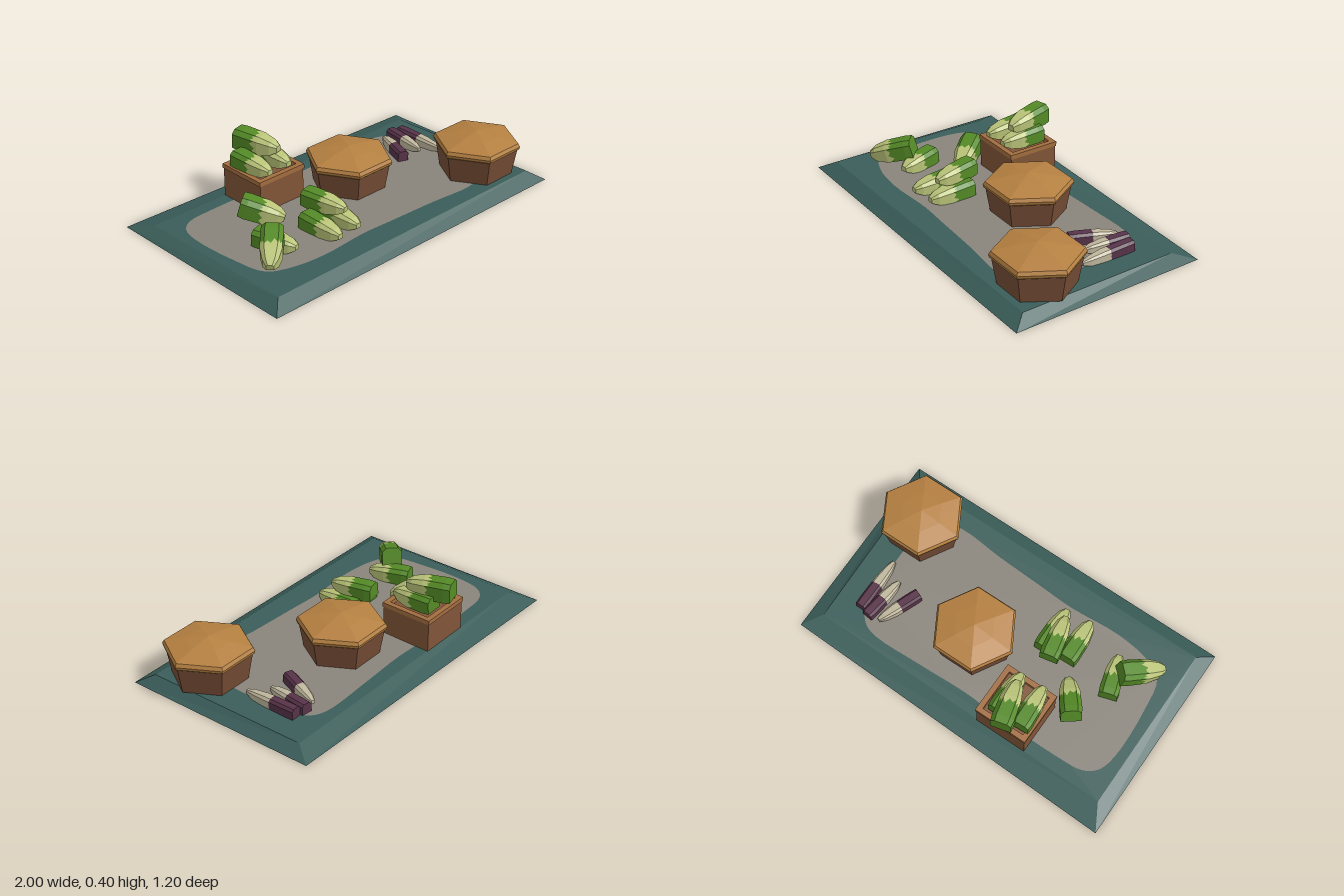
import * as THREE from 'three';

const mat = (name, color, extra = {}) => {
  const m = new THREE.MeshStandardMaterial({ color, ...extra });
  m.name = name;
  return m;
};

// Turns a geometry into hard-edged facets
function facet(geo) {
  const g = geo.index ? geo.toNonIndexed() : geo;
  g.computeVertexNormals();
  return g;
}

// Skins a list of equal-length closed loops, with optional flat caps
function loft(loops, capStart, capEnd) {
  const pos = [];
  const tri = (...pts) => pts.forEach((p) => pos.push(p.x, p.y, p.z));
  const n = loops[0].length;
  for (let i = 0; i < loops.length - 1; i++) {
    for (let j = 0; j < n; j++) {
      const k = (j + 1) % n;
      const a = loops[i][j], b = loops[i][k], c = loops[i + 1][k], d = loops[i + 1][j];
      tri(a, b, c);
      tri(a, c, d);
    }
  }
  const cap = (loop, flip) => {
    const mid = loop.reduce((s, p) => s.add(p), new THREE.Vector3()).divideScalar(n);
    loop.forEach((p, j) => {
      const q = loop[(j + 1) % n];
      if (flip) tri(mid, q, p); else tri(mid, p, q);
    });
  };
  if (capStart) cap(loops[0], true);
  if (capEnd) cap(loops[loops.length - 1], false);
  const g = new THREE.BufferGeometry();
  g.setAttribute('position', new THREE.Float32BufferAttribute(pos, 3));
  g.computeVertexNormals();
  return g;
}

export function createModel() {
  const root = new THREE.Group();
  const M = {
    border: mat('teal cloth', 0x3a5d59, { side: THREE.DoubleSide }),
    field: mat('grey cloth', 0x89847b, { side: THREE.DoubleSide }),
    lid: mat('golden lid', 0xb58041),
    pot: mat('brown pot', 0x764d36),
    crate: mat('crate wood', 0x815538),
    rim: mat('crate rim wood', 0xa26d3f),
    green: mat('leaf green', 0x548a26),
    pale: mat('pale green', 0xbac478),
    purple: mat('dark purple', 0x573349),
    cream: mat('cream', 0xc0b79d),
  };
  const add = (parent, name, geo, material, x = 0, y = 0, z = 0) => {
    const m = new THREE.Mesh(geo, material);
    m.name = name;
    m.position.set(x, y, z);
    parent.add(m);
    return m;
  };
  const group = (name) => {
    const g = new THREE.Group();
    g.name = name;
    root.add(g);
    return g;
  };

  // Cloth: sloped edge, teal border and grey field on a gently tilted top
  const cloth = group('cloth');
  const topY = (z) => 0.042 + 0.012 * z;
  const outer = [[-1, 0.59], [1, 0.595], [0.98, -0.55], [-1, -0.6]];
  const inner = [[-0.92, 0.51], [0.93, 0.51], [0.9, -0.44], [-0.92, -0.46]];
  add(cloth, 'clothEdge', loft([
    outer.map(([x, z]) => new THREE.Vector3(x, 0, z)),
    inner.map(([x, z]) => new THREE.Vector3(x, topY(z), z)),
  ]), M.border);
  const fieldCurve = new THREE.CatmullRomCurve3([
    [-0.86, -0.2], [-0.83, -0.31], [-0.76, -0.365], [-0.6, -0.38], [-0.2, -0.375], [0, -0.365],
    [0.3, -0.375], [0.59, -0.38], [0.67, -0.355], [0.72, -0.3], [0.745, -0.15], [0.76, 0.08],
    [0.74, 0.28], [0.68, 0.38], [0.56, 0.41], [0.3, 0.39], [0, 0.375], [-0.2, 0.365],
    [-0.5, 0.38], [-0.7, 0.35], [-0.81, 0.29], [-0.85, 0.1],
  ].map(([x, z]) => new THREE.Vector3(x, -z, 0)), true);
  const fieldPts = fieldCurve.getPoints(88).slice(0, -1).map((p) => new THREE.Vector2(p.x, p.y));
  const lay = (shape) => {
    const g = new THREE.ShapeGeometry(shape).rotateX(-Math.PI / 2);
    const p = g.attributes.position;
    for (let i = 0; i < p.count; i++) p.setY(i, topY(p.getZ(i)));
    return facet(g);
  };
  const borderShape = new THREE.Shape(inner.map(([x, z]) => new THREE.Vector2(x, -z)));
  borderShape.holes.push(new THREE.Path(fieldPts));
  add(cloth, 'clothBorder', lay(borderShape), M.border);
  add(cloth, 'clothField', lay(new THREE.Shape(fieldPts)), M.field);

  // Six-sided pots with low pointed lids
  const lidProfile = [[0.226, 0.19], [0.24, 0.2], [0.245, 0.217], [0.234, 0.236], [0.12, 0.262], [0, 0.283]]
    .map(([r, y]) => new THREE.Vector2(r, y));
  [[0.13, -0.012, -0.085], [0.748, 0, 0.293]].forEach(([x, y, z]) => {
    const pot = group('pot');
    pot.position.set(x, y, z);
    pot.rotation.y = Math.PI / 6;
    add(pot, 'potBody', facet(new THREE.CylinderGeometry(0.231, 0.204, 0.155, 6, 1, true)), M.pot, 0, 0.1215, 0);
    add(pot, 'potLid', facet(new THREE.LatheGeometry(lidProfile, 6)), M.lid);
  });

  // Crate with a raised rim
  const crate = group('crate');
  crate.position.set(-0.2925, 0, -0.3075);
  add(crate, 'crateBody', new THREE.BoxGeometry(0.305, 0.168, 0.297), M.crate, 0, 0.122, 0);
  [-1, 1].forEach((s) => {
    add(crate, 'crateRimSide', new THREE.BoxGeometry(0.03, 0.026, 0.305), M.rim, s * 0.1425, 0.218, 0);
    add(crate, 'crateRimEnd', new THREE.BoxGeometry(0.255, 0.026, 0.03), M.rim, 0, 0.218, s * 0.1375);
  });

  // Blocky tapering vegetables: a coloured stem half and a lighter tip half
  const section = [[-1, -1], [1, -1], [1, 0.55], [0.6, 1], [-0.6, 1], [-1, 0.55]];
  const taper = [[0, 0.94], [0.15, 1], [0.6, 0.94], [0.86, 0.68], [1, 0.32]];
  const SUB = 4;
  const jag = [0.07, -0.03, 0.02, -0.05, 0.04, -0.06, 0.06, 0];
  const width = (t) => {
    const i = Math.max(1, taper.findIndex(([s]) => s >= t));
    const [t0, w0] = taper[i - 1], [t1, w1] = taper[i];
    return w0 + (w1 - w0) * (t - t0) / (t1 - t0);
  };
  function vegetable(name, from, to, hw, hh, stemMat, tipMat, ragged) {
    const veg = group(name);
    const start = new THREE.Vector3(...from), end = new THREE.Vector3(...to);
    const len = start.distanceTo(end);
    veg.position.copy(start);
    veg.lookAt(end);
    const ring = (tAt) => {
      const pts = [];
      section.forEach((a, e) => {
        const b = section[(e + 1) % section.length];
        for (let s = 0; s < SUB; s++) {
          const t = tAt(e * SUB + s), f = s / SUB, w = width(t);
          pts.push(new THREE.Vector3((a[0] + (b[0] - a[0]) * f) * hw * w,
            (a[1] + (b[1] - a[1]) * f) * hh * w, t * len));
        }
      });
      return pts;
    };
    const split = ring((j) => 0.48 + ragged * jag[j % jag.length]);
    add(veg, name + 'Stem', loft([ring(() => 0), ring(() => 0.15), split], true, false), stemMat);
    add(veg, name + 'Tip', loft([split, ring(() => 0.6), ring(() => 0.86), ring(() => 1)], false, true), tipMat);
  }

  // Green radishes: on the crate, then the loose ones on the cloth
  [
    [[-0.385, 0.272, -0.415], [-0.37, 0.262, -0.16]],
    [[-0.24, 0.272, -0.415], [-0.235, 0.262, -0.165]],
    [[-0.315, 0.345, -0.485], [-0.25, 0.333, -0.23]],
    [[-0.56, 0.145, -0.18], [-0.42, 0.08, 0.005]],
    [[-0.65, 0.087, 0.04], [-0.577, 0.08, 0.27]],
    [[-0.645, 0.168, 0.165], [-0.82, 0.095, 0.34]],
    [[-0.35, 0.087, 0.085], [-0.343, 0.078, 0.345]],
    [[-0.21, 0.087, 0.065], [-0.2, 0.078, 0.33]],
    [[-0.28, 0.168, 0.015], [-0.23, 0.16, 0.265]],
  ].forEach(([a, b], i) => {
    const big = i === 3 || i === 5 || i === 2;
    vegetable('radish', a, b, big ? 0.06 : 0.055, big ? 0.054 : 0.045, M.green, M.pale, 1);
  });

  // Slim purple roots beside the pots
  [
    [[0.53, 0.07, -0.055], [0.625, 0.066, -0.3]],
    [[0.692, 0.071, -0.315], [0.662, 0.066, -0.055]],
    [[0.75, 0.068, -0.295], [0.756, 0.063, 0.025]],
  ].forEach(([a, b]) => vegetable('purpleRoot', a, b, 0.033, 0.031, M.purple, M.cream, 0.1));

  return root;
}
